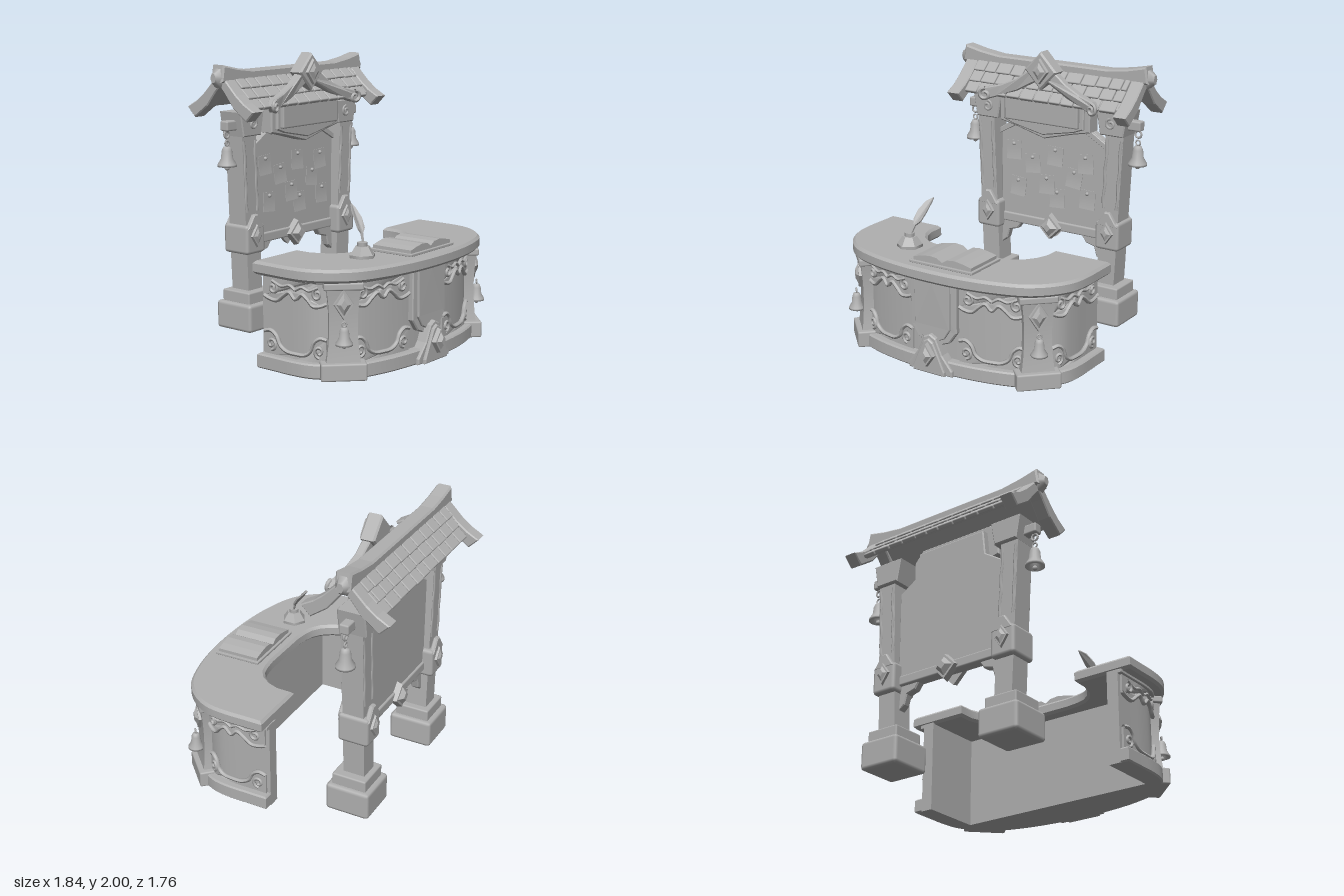
import * as THREE from 'three';
import { toCreasedNormals } from 'three/addons/utils/BufferGeometryUtils.js';
import { RoundedBoxGeometry } from 'three/addons/geometries/RoundedBoxGeometry.js';

const stone = new THREE.MeshStandardMaterial({ color: 0xb0b0b0, side: THREE.DoubleSide });
stone.name = 'plain grey';

let seed = 7;
const rand = () => (seed = (seed * 16807) % 2147483647) / 2147483647 - 0.5;

function add(parent, name, geo, x = 0, y = 0, z = 0) {
  const m = new THREE.Mesh(geo, stone);
  m.name = name;
  m.position.set(x, y, z);
  parent.add(m);
  return m;
}
const block = (w, h, d, r = 0.012) => new RoundedBoxGeometry(w, h, d, 1, r);
const toShape = pts => new THREE.Shape(pts.map(p => new THREE.Vector2(p[0], p[1])));
// Mirrors a half outline listed from top centre to bottom centre
const mirrored = half => half.concat(half.slice().reverse().map(([x, y]) => [-x, y]));
function plate(pts, z0, z1, bevel = 0.008) {
  const g = new THREE.ExtrudeGeometry(toShape(pts), { depth: z1 - z0 - 2 * bevel, bevelEnabled: bevel > 0,
    bevelThickness: bevel, bevelSize: bevel, bevelOffset: -bevel, bevelSegments: 1 });
  return g.translate(0, 0, z0 + bevel);
}
function move(geo, rule) {
  const p = geo.attributes.position, v = new THREE.Vector3();
  for (let i = 0; i < p.count; i++) {
    rule(v.fromBufferAttribute(p, i));
    p.setXYZ(i, v.x, v.y, v.z);
  }
  geo.computeVertexNormals();
  return geo;
}
const tube = (pts, r, n = 32) => new THREE.TubeGeometry(
  new THREE.CatmullRomCurve3(pts.map(p => new THREE.Vector3(p[0], p[1], p[2] || 0))), n, r, 6);
// Spiral that starts on the outside and winds inward
function spiral(cx, cy, radius, dir = 1, start = Math.PI / 2) {
  return Array.from({ length: 13 }, (_, i) => {
    const a = start + dir * i * 0.65, r = radius * (1 - i * 0.065);
    return [cx + Math.cos(a) * r, cy + Math.sin(a) * r];
  });
}
const cut = (r0, r1, d) => new THREE.CylinderGeometry(r1, r0, d, 4).toNonIndexed().rotateX(Math.PI / 2);

// Diamond setting with a cut stone, facing +z
function gem(parent, w, h, d, x, y, z, turn = 0) {
  const g = new THREE.Group();
  g.name = 'gem';
  add(g, 'gemSetting', move(cut(1, 0.88, d * 0.6).translate(0, 0, d * 0.3), v => { v.x *= w; v.y *= h; }));
  add(g, 'gemStone', move(cut(0.68, 0.3, d * 0.4).translate(0, 0, d * 0.8), v => { v.x *= w; v.y *= h; }));
  g.position.set(x, y, z);
  g.rotation.y = turn;
  parent.add(g);
}
// Hanging bell, origin at the ring
function bell(parent, x, y, z, s = 1) {
  const g = new THREE.Group();
  g.name = 'bell';
  const profile = [[0, 0], [0.025, -0.005], [0.036, -0.03], [0.042, -0.085], [0.066, -0.125], [0.066, -0.14], [0.052, -0.14], [0.03, -0.08]];
  add(g, 'bellBody', new THREE.LatheGeometry(profile.map(p => new THREE.Vector2(...p)), 16), 0, -0.02, 0);
  add(g, 'bellRing', new THREE.TorusGeometry(0.018, 0.006, 6, 12));
  add(g, 'clapper', new THREE.SphereGeometry(0.018, 10, 8), 0, -0.17, 0);
  g.position.set(x, y, z);
  g.scale.setScalar(s);
  parent.add(g);
}

// Outer edge of the counter, left arm to right arm
const edgeHalf = [[0.92, 0], [0.92, 0.15], [0.92, 0.3], [0.9, 0.44], [0.83, 0.57], [0.7, 0.69], [0.5, 0.765], [0.25, 0.81], [0, 0.822]];
const edge = new THREE.CatmullRomCurve3(mirrored(edgeHalf).filter((p, i) => i !== 9).reverse()
  .map(([x, z]) => new THREE.Vector3(x, 0, z)));
const edgeLength = edge.getLength();
function along(s, out) {
  const u = THREE.MathUtils.clamp(s / edgeLength + 0.5, 0, 1);
  const p = edge.getPointAt(u), t = edge.getTangentAt(u);
  return [p.x - t.z * out, Math.max(0, p.z + t.x * out)];
}
// Bends a flat piece (x along the edge, z outward) round the counter
const wrap = geo => move(geo, v => { const [x, z] = along(v.x, v.z); v.x = x; v.z = z; });
function slab(out, inner, y0, y1, bevel) {
  const pts = Array.from({ length: 65 }, (_, i) => along((i / 64 - 0.5) * edgeLength, out));
  return toCreasedNormals(plate(pts.concat(inner), 0, y1 - y0, bevel).rotateX(Math.PI / 2).translate(0, y1, 0), 0.5);
}

function counter() {
  const g = new THREE.Group();
  g.name = 'counter';
  const inside = [[0.735, 0], [0.735, 0.44], [-0.735, 0.44], [-0.735, 0]];
  const cove = [[0.48, 0], [0.478, 0.12], [0.45, 0.2], [0.4, 0.27], [0.34, 0.312], [0.28, 0.33], [0.18, 0.343]];
  add(g, 'counterWall', slab(-0.1, inside, 0, 0.65, 0));
  add(g, 'plinth', slab(-0.035, inside, 0, 0.1, 0.01));
  add(g, 'cornice', slab(-0.07, inside, 0.62, 0.65, 0.005));
  add(g, 'counterTop', slab(0, [...cove, ...cove.slice().reverse().map(([x, z]) => [-x, z])], 0.64, 0.73, 0.018));

  // Flat-faced corner pillars with gem and bell
  for (const side of [-1, 1]) {
    const pillar = new THREE.Group();
    pillar.name = 'cornerPillar';
    const shaft = move(new THREE.BoxGeometry(0.23, 0.56, 0.1, 2, 8, 1), v => {
      const k = v.y / 0.28;
      v.x *= 0.8 + 0.22 * k * k;
      v.z += v.z > 0 ? 0.02 * k * k : 0;
    });
    add(pillar, 'pillar', shaft, 0, 0.36, -0.1);
    add(pillar, 'pillarFoot', block(0.3, 0.115, 0.13), 0, 0.0575, -0.062);
    add(pillar, 'pillarCap', block(0.26, 0.05, 0.1), 0, 0.615, -0.07);
    gem(pillar, 0.07, 0.11, 0.05, 0, 0.5, -0.055);
    bell(pillar, 0, 0.375, -0.01, 0.85);
    const [x, z] = along(side * 0.8, 0);
    pillar.position.set(x, 0, z);
    pillar.rotation.y = side * 0.78;
    g.add(pillar);
  }

  // Carved panels: raised bands and scrolls bent round the wall
  const upper = [[-1, 0.49], [-0.85, 0.475], [-0.6, 0.47], [-0.4, 0.51], [-0.2, 0.54], [0, 0.5], [0.2, 0.54], [0.4, 0.51], [0.6, 0.47], [0.85, 0.475], [1, 0.49]];
  const lower = [[-1, 0.25], [-0.8, 0.26], [-0.62, 0.23], [-0.5, 0.17], [-0.3, 0.14], [0, 0.135], [0.3, 0.14], [0.5, 0.17], [0.62, 0.23], [0.8, 0.26], [1, 0.25]];
  for (const [a, b] of [[0.2, 0.7], [0.92, 1.46]]) for (const side of [-1, 1]) {
    const m = side * (a + b) / 2, h = (b - a) / 2;
    const band = (pts, y) => {
      const line = pts.map(([k, v]) => [m + k * h, v]);
      return wrap(plate([...line, ...line.slice().reverse().map(([x]) => [x, y])], -0.105, -0.085, 0));
    };
    const trim = (name, pts, r = 0.012) => add(g, name, wrap(tube(pts.map(([x, y]) => [x, y, -0.086]), r, 40)));
    add(g, 'upperBand', band(upper, 0.63));
    add(g, 'lowerBand', band(lower, 0.09));
    trim('upperBorder', upper.map(([k, y]) => [m + k * h, y]), 0.015);
    trim('lowerBorder', lower.map(([k, y]) => [m + k * h, y]), 0.015);
    for (const d of [-1, 1]) {
      trim('upperScroll', spiral(m + d * h * 0.72, 0.55, 0.042, d));
      trim('upperCurl', [[m + d * h * 0.75, 0.595], [m + d * h * 0.45, 0.57], [m + d * h * 0.2, 0.585], [m, 0.56]]);
      trim('lowerScroll', spiral(m + d * h * 0.78, 0.17, 0.042, -d, -Math.PI / 2));
    }
  }

  // Central hanging shield and foot ornament
  add(g, 'shieldBorder', wrap(plate(mirrored([[0, 0.635], [0.19, 0.635], [0.19, 0.3], [0.13, 0.22], [0, 0.17]]), -0.11, -0.06)));
  add(g, 'shield', wrap(plate(mirrored([[0, 0.635], [0.145, 0.635], [0.145, 0.32], [0.1, 0.25], [0, 0.2]]), -0.08, -0.045, 0.005)));
  add(g, 'footOrnament', wrap(plate(mirrored([[0, 0.275], [0.05, 0.25], [0.1, 0.14], [0.18, 0.04], [0.18, 0]]), -0.1, -0.015)));
  add(g, 'footOrnamentFace', wrap(plate(mirrored([[0, 0.25], [0.04, 0.225], [0.085, 0.13], [0.13, 0.03], [0.13, 0]]), -0.03, 0.004)));
  gem(g, 0.065, 0.09, 0.055, 0, 0.14, 0.822);
  return g;
}

function deskItems() {
  const g = new THREE.Group();
  g.name = 'deskItems';
  // Open book
  const book = new THREE.Group();
  book.name = 'book';
  add(book, 'bookCover', block(0.5, 0.018, 0.345, 0.004), 0, 0.009, 0);
  for (const s of [-1, 1]) {
    const page = [[0, 0.015], [0, 0.035], [0.04 * s, 0.06], [0.1 * s, 0.066], [0.17 * s, 0.055], [0.23 * s, 0.04], [0.23 * s, 0.015]];
    add(book, 'pages', plate(page, -0.155, 0.155, 0));
  }
  book.position.set(0.05, 0.73, 0.572);
  book.rotation.y = 0.02;
  g.add(book);
  // Inkwell and quill
  add(g, 'inkwell', new THREE.CylinderGeometry(0.05, 0.09, 0.06, 6).toNonIndexed(), -0.39, 0.775, 0.49).geometry.computeVertexNormals();
  add(g, 'inkwellFoot', new THREE.CylinderGeometry(0.09, 0.09, 0.02, 6), -0.39, 0.74, 0.49);
  add(g, 'inkwellNeck', new THREE.CylinderGeometry(0.035, 0.035, 0.03, 8), -0.39, 0.815, 0.49);
  const quill = plate([[-0.005, 0], [0.005, 0], [0.008, 0.07], [0.034, 0.11], [0.036, 0.19], [0.02, 0.27], [0.008, 0.3],
    [-0.022, 0.25], [-0.034, 0.17], [-0.028, 0.1], [-0.008, 0.07]], -0.006, 0.006, 0);
  const q = add(g, 'quill', move(quill, v => { v.z += 1.1 * v.y * (0.3 - v.y); }), -0.38, 0.815, 0.49);
  q.rotation.set(-0.6, 0, -0.24);
  return g;
}

function noticeBoard() {
  const g = new THREE.Group();
  g.name = 'noticeBoard';
  const Z = -0.57;
  for (const s of [-1, 1]) {
    // Leaning post on a stepped foot
    const lean = y => s * (0.485 + 0.045 * (y - 0.36));
    add(g, 'postFoot', block(0.31, 0.2, 0.32, 0.025), s * 0.49, 0.18, -0.55);
    add(g, 'postStep', block(0.25, 0.09, 0.25), s * 0.49, 0.315, -0.55);
    add(g, 'post', move(new THREE.BoxGeometry(0.14, 1.12, 0.155).translate(0, 0.9, -0.56), v => { v.x += lean(v.y); }));
    for (const k of [-1, 1]) for (const face of [-0.485, -0.635]) {
      const strip = [0.92, 1.0, 1.1, 1.2, 1.3, 1.42].map((y, i) => [lean(y) + k * (0.05 + (i % 2) * 0.008), y, face]);
      add(g, 'postCarving', tube(strip, 0.012, 20));
    }
    // Post collar with gems front and back
    const cx = lean(0.72);
    add(g, 'collar', block(0.19, 0.21, 0.225, 0.025), cx, 0.725, -0.565);
    for (const z of [-0.468, -0.662])
      add(g, 'collarPeak', plate([[-0.085, 0.8], [0.085, 0.8], [0.02, 0.9], [-0.02, 0.9]], -0.018, 0.018), cx, 0, z);
    gem(g, 0.06, 0.085, 0.03, cx, 0.75, -0.455);
    gem(g, 0.06, 0.085, 0.03, cx, 0.75, -0.675, Math.PI);
    // Capital, bell arm and bell
    add(g, 'capital', plate([[-0.09, 1.45], [0.09, 1.45], [0.12, 1.62], [-0.12, 1.62]], -0.665, -0.465), s * 0.515);
    add(g, 'capitalCarving', tube(spiral(s * 0.51, 1.535, 0.04, s).map(([x, y]) => [x, y, -0.465]), 0.01));
    add(g, 'bellArm', block(0.12, 0.07, 0.07), s * 0.65, 1.53, -0.555);
    add(g, 'bellHook', new THREE.TorusGeometry(0.024, 0.008, 6, 12), s * 0.68, 1.47, -0.555);
    bell(g, s * 0.68, 1.41, -0.555, 1.0);
    // Curved brace below the board
    add(g, 'brace', plate([[s * 0.42, 0.68], [s * 0.25, 0.68], [s * 0.29, 0.62], [s * 0.36, 0.6], [s * 0.38, 0.53], [s * 0.43, 0.49]], -0.59, -0.53));
  }
  // Board, bottom rail and its diamonds
  add(g, 'board', plate(mirrored([[0, 1.64], [0.28, 1.64], [0.3, 1.46], [0.44, 1.37], [0.43, 0.7]]), -0.6, -0.54));
  add(g, 'boardTrim', plate(mirrored([[0, 1.47], [0.28, 1.47], [0.44, 1.37], [0.44, 1.33], [0.26, 1.43], [0, 1.43]]), -0.55, -0.525, 0.004));
  add(g, 'bottomRail', block(0.88, 0.07, 0.09), 0, 0.7, Z);
  gem(g, 0.1, 0.1, 0.07, 0, 0.69, -0.54);
  gem(g, 0.1, 0.1, 0.07, 0, 0.69, -0.6, Math.PI);
  // Pinned notes
  for (const [x, y, t] of [[-0.32, 1.22, 0.06], [0.03, 1.22, -0.04], [0.28, 1.2, 0.08], [-0.04, 1, 0.05], [0.19, 1.08, -0.12],
    [-0.28, 0.95, -0.08], [0.05, 0.91, 0.06], [0.3, 0.94, -0.03], [-0.16, 1.14, 0.1]]) {
    const sheet = move(new THREE.BoxGeometry(0.125, 0.14, 0.004, 3, 3, 1), v => { v.z += 1.5 * Math.max(0, -v.y) ** 2; });
    add(g, 'note', sheet, x, y, -0.532).rotation.z = t;
    add(g, 'pin', new THREE.SphereGeometry(0.014, 8, 6), x, y + 0.045, -0.526);
  }
  // Name plate, left blank
  add(g, 'signBack', plate(mirrored([[0, 1.7], [0.3, 1.7], [0.37, 1.62], [0.37, 1.46], [0.23, 1.43], [0, 1.37]]), -0.54, -0.42));
  add(g, 'signFrame', plate(mirrored([[0, 1.7], [0.31, 1.7], [0.33, 1.66], [0.33, 1.48], [0.25, 1.45], [0, 1.4]]), -0.44, -0.4));
  add(g, 'signPlate', block(0.6, 0.19, 0.04), 0, 1.58, -0.39);

  // Gable boards and shingled roof
  const gable = mirrored([[0, 1.9], [0.06, 1.84], [0.15, 1.75], [0.22, 1.695], [0.31, 1.645], [0.24, 1.575], [0.12, 1.66], [0.04, 1.76], [0, 1.8]]);
  for (const s of [-1, 1])
    add(g, 'gableBoard', plate(gable, -0.05, 0.05).rotateY(-Math.PI / 2), s * 0.68, 0, Z);
  for (const f of [-1, 1]) {
    add(g, 'roofPanel', block(1.28, 0.03, 0.24, 0.005), 0, 1.74, Z + f * 0.115).rotation.x = f * 0.78;
    for (let row = 0; row < 3; row++) {
      let x = -0.63;
      while (x < 0.6) {
        const w = Math.min(0.115 + rand() * 0.04, 0.63 - x);
        const t = add(g, 'shingle', block(Math.max(w - 0.006, 0.02), 0.03, 0.105 + rand() * 0.012, 0.008),
          x + w / 2, 1.815 - row * 0.066, Z + f * (0.07 + row * 0.056));
        t.rotation.set(f * 0.72, 0, rand() * 0.04);
        x += w;
      }
    }
  }
  // Sagging ridge beam with end caps
  add(g, 'ridgeBeam', plate(mirrored([[0, 1.9], [0.45, 1.9], [0.6, 1.92], [0.74, 1.95], [0.76, 1.83], [0.6, 1.82], [0, 1.82]]), -0.055, 0.055, 0.012), 0, 0, Z);
  for (const s of [-1, 1]) {
    const cap = add(g, 'ridgeCap', new THREE.CylinderGeometry(0.025, 0.055, 0.05, 6), s * 0.765, 1.86, Z);
    cap.rotation.z = -s * Math.PI / 2;
    cap.scale.x = 1.4;
    // Bowed front rafter ending in a scroll
    const half = [[0, 1.93], [0.1, 1.865], [0.2, 1.79], [0.32, 1.735], [0.44, 1.705], [0.48, 1.66], [0.44, 1.615], [0.36, 1.64], [0.2, 1.7], [0, 1.81]];
    const bow = v => { v.z += 0.3 * v.x * v.x; };
    add(g, 'rafter', move(plate(half.map(([x, y]) => [s * x, y]), -0.44, -0.38), bow));
    add(g, 'rafterScroll', move(tube(spiral(s * 0.435, 1.655, 0.045, -s).map(([x, y]) => [x, y, -0.38]), 0.014), bow));
  }
  // Crest diamond
  add(g, 'crest', plate([[0, 2], [0.13, 1.865], [0, 1.73], [-0.13, 1.865]], -0.47, -0.36, 0.012));
  gem(g, 0.075, 0.095, 0.035, 0, 1.865, -0.362);
  g.position.x = 0.12;
  return g;
}

export function createModel() {
  const model = new THREE.Group();
  model.name = 'receptionDesk';
  model.add(counter(), deskItems(), noticeBoard());
  return model;
}
